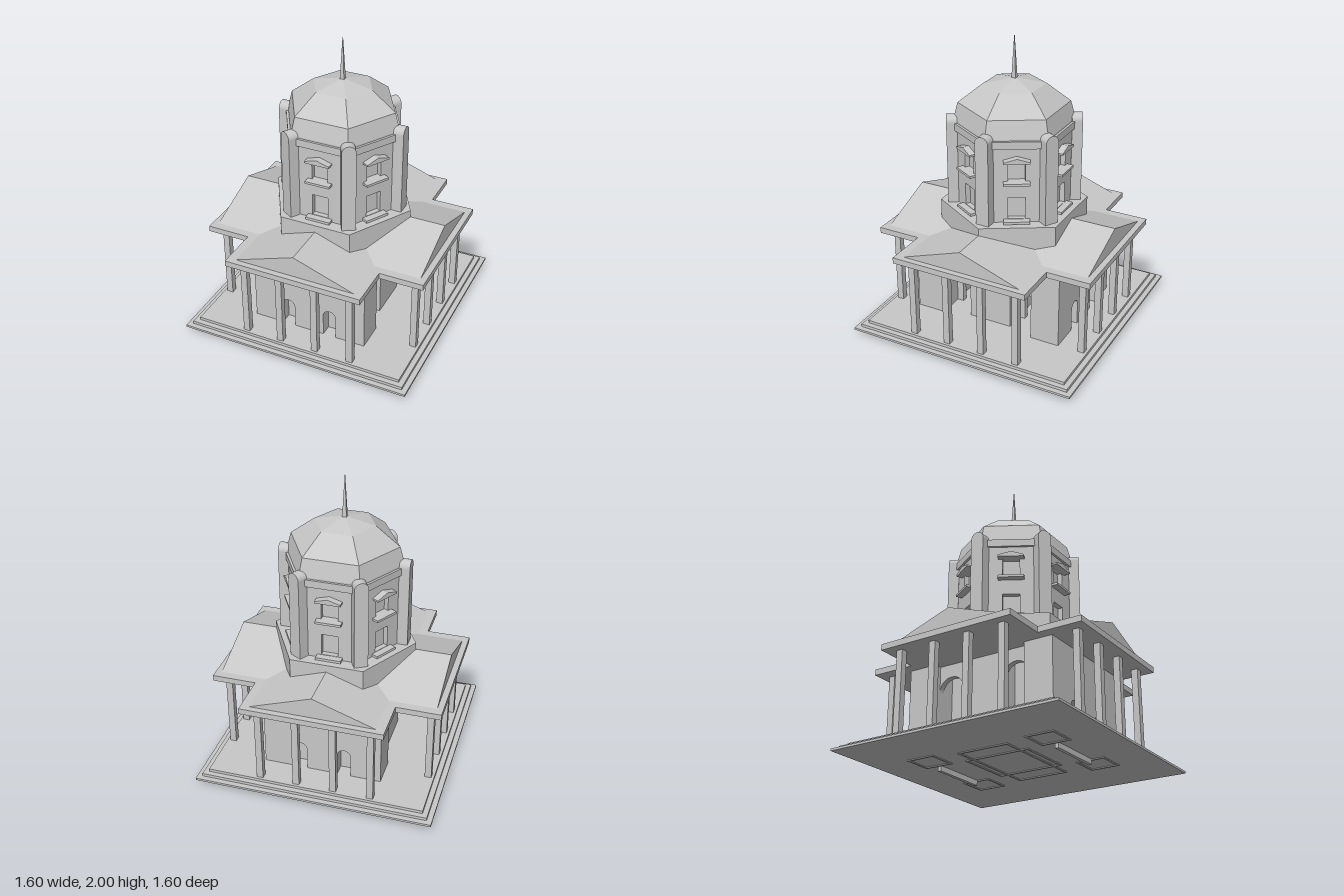
import * as THREE from 'three';

export function createModel() {
  const model = new THREE.Group();
  const stone = new THREE.MeshStandardMaterial({ color: 0xc8c8c8, flatShading: true });
  stone.name = 'stone';

  const add = (name, geometry, parent = model) => {
    const mesh = new THREE.Mesh(geometry, stone);
    mesh.name = name;
    parent.add(mesh);
    return mesh;
  };
  // Box given by its lower and upper corners
  const box = (name, x0, x1, y0, y1, z0, z1, parent) =>
    add(name, new THREE.BoxGeometry(x1 - x0, y1 - y0, z1 - z0)
      .translate((x0 + x1) / 2, (y0 + y1) / 2, (z0 + z1) / 2), parent);
  const polygon = (points) => new THREE.Shape(points.map(([x, y]) => new THREE.Vector2(x, y)));
  const rect = (x0, x1, y0, y1) => polygon([[x0, y0], [x1, y0], [x1, y1], [x0, y1]]);
  const extrude = (shape, depth) =>
    new THREE.ExtrudeGeometry(shape, { depth, bevelEnabled: false, curveSegments: 8 });
  // Round-topped outline
  const arch = (cx, half, y0, spring, top) => {
    const s = new THREE.Shape();
    s.moveTo(cx - half, y0);
    s.lineTo(cx + half, y0);
    s.lineTo(cx + half, spring);
    s.absellipse(cx, spring, half, top - spring, 0, Math.PI, false, 0);
    s.lineTo(cx - half, y0);
    return s;
  };
  // Six-sided prism with corners on the x axis
  const hexagon = (name, radius, y0, y1) =>
    add(name, new THREE.CylinderGeometry(radius, radius, y1 - y0, 6)
      .rotateY(Math.PI / 6).translate(0, (y0 + y1) / 2, 0));

  // Stepped base
  [[0.80, 0.035, 0.05], [0.765, 0.05, 0.07], [0.73, 0.07, 0.09]].forEach(([h, y0, y1]) =>
    box('baseStep', -h, h, y0, y1, -h, h));

  // Foundation outlines below the base
  const footing = (x0, x1, z0, z1) => {
    const s = rect(x0, x1, z0, z1);
    const t = 0.014;
    s.holes.push(rect(x0 + t, x1 - t, z0 + t, z1 - t));
    add('footing', extrude(s, 0.008).rotateX(Math.PI / 2).translate(0, 0.037, 0));
  };
  footing(-0.35, 0.35, -0.18, 0.18);
  footing(-0.2, 0.2, -0.23, 0.23);
  for (const sz of [-1, 1]) {
    const zs = [sz * 0.33, sz * 0.53].sort((a, b) => a - b);
    footing(-0.4, -0.2, ...zs);
    footing(0.2, 0.4, ...zs);
    box('threshold', -0.2, 0.2, 0, 0.04, sz * 0.43 - 0.012, sz * 0.43 + 0.012);
  }

  // Central core of the hall
  box('hallCore', -0.33, 0.33, 0.085, 0.63, -0.15, 0.15);

  // Front and back halls with pairs of small arched doorways
  for (const turn of [0, Math.PI]) {
    const hall = new THREE.Group();
    hall.name = 'endHall';
    hall.rotation.y = turn;
    box('hallBlock', -0.4, 0.4, 0.085, 0.63, 0.33, 0.45, hall);
    const wall = rect(-0.4, 0.4, 0.085, 0.63);
    [-0.15, 0.15].forEach((x) => wall.holes.push(arch(x, 0.045, 0.088, 0.245, 0.29)));
    add('doorwayWall', extrude(wall, 0.08).translate(0, 0, 0.45), hall);
    model.add(hall);
  }

  // Side walls: tall arches outside, small open arches behind them
  for (const turn of [Math.PI / 2, -Math.PI / 2]) {
    const side = new THREE.Group();
    side.name = 'sideWall';
    side.rotation.y = turn;
    const outer = rect(-0.34, 0.34, 0.085, 0.63);
    const inner = rect(-0.34, 0.34, 0.085, 0.63);
    for (const x of [-0.24, 0.24]) {
      outer.holes.push(arch(x, 0.09, 0.088, 0.46, 0.545));
      inner.holes.push(arch(x, 0.045, 0.088, 0.235, 0.28));
    }
    add('tallArchWall', extrude(outer, 0.04).translate(0, 0, 0.31), side);
    add('innerArchWall', extrude(inner, 0.04).translate(0, 0, 0.18), side);
    model.add(side);
  }

  // Four porticoes of four square columns
  for (let k = 0; k < 4; k++) {
    const portico = new THREE.Group();
    portico.name = 'portico';
    portico.rotation.y = k * Math.PI / 2;
    for (const x of [-0.375, -0.125, 0.125, 0.375])
      box('column', x - 0.022, x + 0.022, 0.09, 0.63, 0.668, 0.712, portico);
    model.add(portico);
  }

  // Cross-shaped eaves and two crossing gable roofs
  const a = 0.473, b = 0.77;
  const cross = polygon([[-a, -b], [a, -b], [a, -a], [b, -a], [b, a], [a, a],
    [a, b], [-a, b], [-a, a], [-b, a], [-b, -a], [-a, -a]]);
  add('eaves', extrude(cross, 0.04).rotateX(-Math.PI / 2).translate(0, 0.63, 0));
  for (const turn of [0, Math.PI / 2])
    add('gableRoof', extrude(polygon([[-0.43, 0.665], [0.43, 0.665], [0, 0.815]]), 1.46)
      .translate(0, 0, -0.73).rotateY(turn));

  // Six-sided drum
  hexagon('drumPlinth', 0.49, 0.64, 0.865);
  hexagon('drumCore', 0.355, 0.86, 1.42);
  hexagon('cornice', 0.413, 1.38, 1.43);
  for (let k = 0; k < 6; k++) {
    const face = new THREE.Group();
    face.name = 'drumFace';
    face.rotation.y = k * Math.PI / 3;
    const wall = rect(-0.1975, 0.1975, 0.86, 1.385);
    wall.holes.push(rect(-0.055, 0.055, 0.89, 1.04), rect(-0.055, 0.055, 1.155, 1.293));
    add('windowWall', extrude(wall, 0.04).translate(0, 0, 0.302), face);
    box('lowerSill', -0.085, 0.085, 0.87, 0.887, 0.34, 0.388, face);
    box('upperSill', -0.085, 0.085, 1.14, 1.156, 0.34, 0.388, face);
    add('windowPediment', extrude(polygon([[-0.085, 1.29], [0.085, 1.29], [0.085, 1.302],
      [0, 1.327], [-0.085, 1.302]]), 0.048).translate(0, 0, 0.34), face);
    model.add(face);

    // Round-topped buttress on each corner
    add('buttress', extrude(arch(0, 0.046, 0.86, 1.43, 1.475), 0.07)
      .translate(0, 0, 0.37).rotateY(k * Math.PI / 3 + Math.PI / 6));
  }

  // Faceted dome and spire
  const domeProfile = [[0.395, 1.425], [0.395, 1.44], [0.364, 1.557], [0.205, 1.68], [0, 1.725]]
    .map(([r, y]) => new THREE.Vector2(r, y));
  add('dome', new THREE.LatheGeometry(domeProfile, 6).rotateY(Math.PI / 6));
  add('spire', new THREE.CylinderGeometry(0.002, 0.021, 0.29, 4)
    .rotateY(Math.PI / 4).translate(0, 1.855, 0));

  return model;
}
